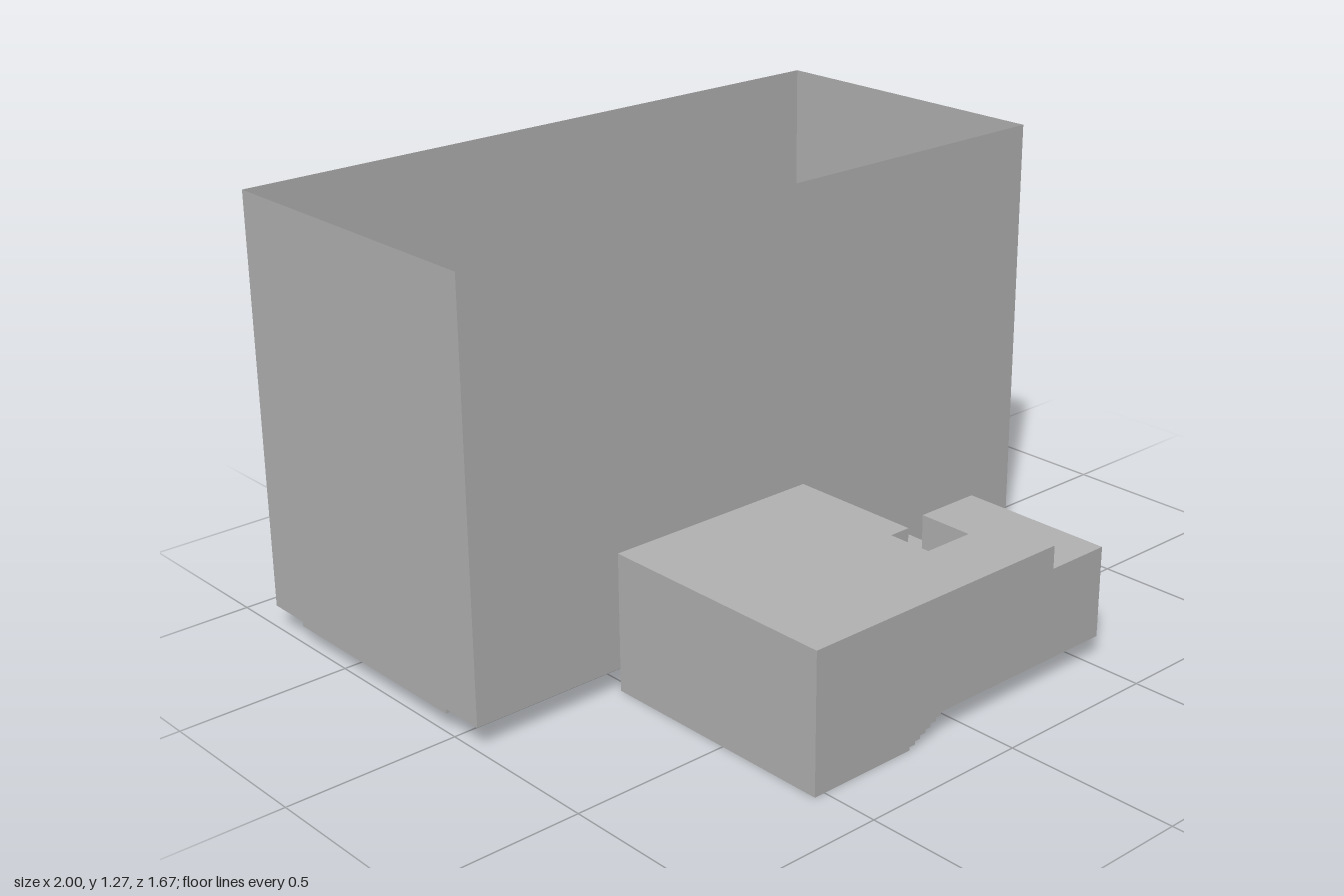
import * as THREE from 'three';

const FLOOR = 0.067, ROOF = 0.4, TOP = 1.267;
const FRONT = 0.1, BACK = -0.833;

const concrete = new THREE.MeshStandardMaterial({ color: 0xb2b2b2 });
concrete.name = 'grey concrete';
concrete.side = THREE.DoubleSide;

const outline = (points) => new THREE.Shape(points.map(([a, b]) => new THREE.Vector2(a, b)));

function add(group, name, geometry) {
  const mesh = new THREE.Mesh(geometry, concrete);
  mesh.name = name;
  group.add(mesh);
  return mesh;
}

// Footprint of [x, z] points raised from y0 to y1
function block(group, name, footprint, y0, y1) {
  const geometry = new THREE.ExtrudeGeometry(
    outline(footprint.map(([x, z]) => [x, -z])),
    { depth: y1 - y0, bevelEnabled: false }
  );
  geometry.rotateX(-Math.PI / 2).translate(0, y0, 0);
  return add(group, name, geometry);
}

const rect = (x0, x1, z0, z1) => [[x0, z0], [x1, z0], [x1, z1], [x0, z1]];

// Tall open-topped hall made of thin walls and a floor with a sunken middle
function createHall() {
  const hall = new THREE.Group();
  hall.name = 'mainHall';
  const floorLine = [
    [BACK, FLOOR], [-0.7, FLOOR], [-0.7, 0.053],
    [-0.033, 0.053], [-0.033, FLOOR], [FRONT, FLOOR],
  ];

  // End walls follow the floor profile
  for (const [name, x] of [['leftWall', 1], ['rightWall', -1]]) {
    const wall = outline([...floorLine, [FRONT, TOP], [BACK, TOP]].map(([z, y]) => [-z, y]));
    add(hall, name, new THREE.ShapeGeometry(wall).rotateY(Math.PI / 2).translate(x, 0, 0));
  }

  // Front wall, and back wall with a doorway
  const frontWall = outline([[-1, FLOOR], [1, FLOOR], [1, TOP], [-1, TOP]]);
  add(hall, 'frontWall', new THREE.ShapeGeometry(frontWall).translate(0, 0, FRONT));
  const backWall = outline([
    [-1, FLOOR], [-0.067, FLOOR], [-0.067, 0.267], [0.067, 0.267],
    [0.067, FLOOR], [1, FLOOR], [1, TOP], [-1, TOP],
  ]);
  add(hall, 'backWall', new THREE.ShapeGeometry(backWall).rotateY(Math.PI).translate(0, 0, BACK));

  // Floor ledges, steps and sunken strip
  for (let i = 0; i < floorLine.length - 1; i++) {
    const [z0, y0] = floorLine[i], [z1, y1] = floorLine[i + 1];
    const flat = y0 === y1;
    const strip = new THREE.PlaneGeometry(2, Math.abs(flat ? z1 - z0 : y1 - y0));
    if (flat) strip.rotateX(-Math.PI / 2);
    else if (y1 > y0) strip.rotateY(Math.PI);
    strip.translate(0, (y0 + y1) / 2, (z0 + z1) / 2);
    add(hall, flat ? 'floor' : 'floorStep', strip);
  }
  return hall;
}

// Low entrance building wrapped around an open court
function createEntrance() {
  const entrance = new THREE.Group();
  entrance.name = 'entranceBuilding';

  // Front wing, its underside stepping up along the stairs
  const profile = [[-0.533, 0]];
  const steps = 7, run = 0.019;
  for (let i = 0; i < steps; i++) {
    const x = -0.2 + i * run;
    profile.push([x, FLOOR * i / steps], [x, FLOOR * (i + 1) / steps]);
  }
  profile.push([0.333, FLOOR], [0.333, ROOF], [-0.533, ROOF]);
  const wing = new THREE.ExtrudeGeometry(outline(profile), { depth: 0.2, bevelEnabled: false });
  add(entrance, 'frontWingWithStairs', wing.translate(0, 0, 0.633));

  // Lobby behind the wing, with its lower level beneath
  block(entrance, 'lobby', [
    [-0.533, FRONT], [0.133, FRONT], [0.133, 0.5], [0.067, 0.5], [0.067, 0.633], [-0.533, 0.633],
  ], FLOOR, ROOF);
  block(entrance, 'lowerLobby', [
    [-0.533, FRONT], [-0.135, FRONT], [-0.135, 0.5], [-0.07, 0.5], [-0.07, 0.633], [-0.533, 0.633],
  ], 0, FLOOR);

  // Side room and low court wall
  block(entrance, 'sideRoom', rect(0.333, 0.533, 0.367, 0.833), FLOOR, 0.333);
  block(entrance, 'courtWall', rect(0.467, 0.533, FRONT, 0.367), FLOOR, 0.133);
  return entrance;
}

export function createModel() {
  const model = new THREE.Group();
  model.name = 'hallBuilding';
  model.add(createHall(), createEntrance());
  return model;
}
